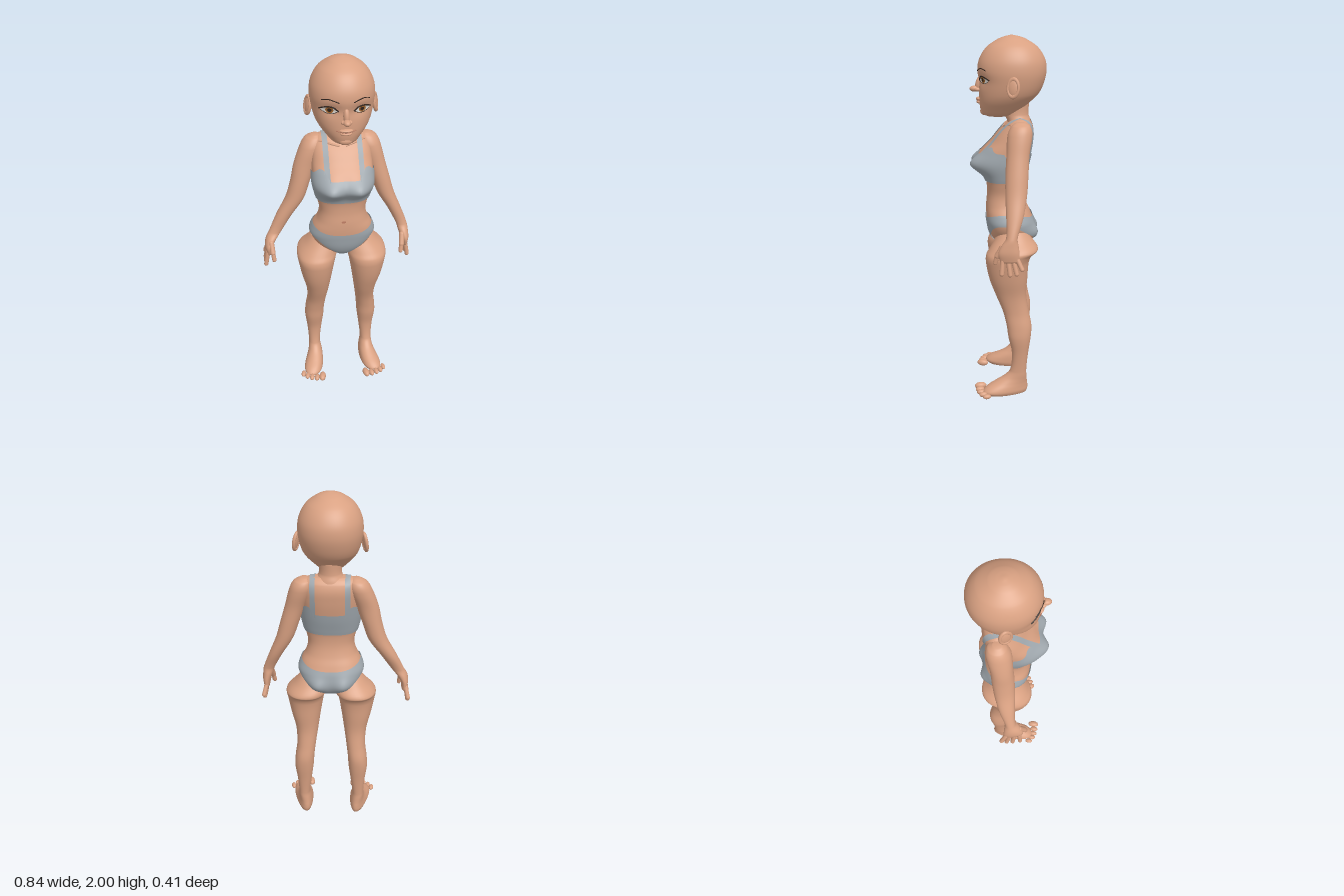
import * as THREE from 'three';

const CX = 0.026; // body mid line
const mat = (name, color) => {
  const m = new THREE.MeshStandardMaterial({ color });
  m.name = name;
  return m;
};
const gauss = (d, w) => Math.exp(-(d * d) / (w * w));
const smooth = THREE.MathUtils.smoothstep;

// Rows are [y, xMin, xMax, zFront, zBack]; sampled with a cubic through the rows
function sampleRow(rows, y) {
  let i = 0;
  while (i < rows.length - 2 && y > rows[i + 1][0]) i++;
  const a = rows[i], b = rows[i + 1], h = b[0] - a[0];
  const t = THREE.MathUtils.clamp((y - a[0]) / h, 0, 1);
  const slope = (k, c) => {
    const p = rows[Math.max(k - 1, 0)], q = rows[Math.min(k + 1, rows.length - 1)];
    return (q[c] - p[c]) / (q[0] - p[0]);
  };
  return [1, 2, 3, 4].map((c) => {
    const t2 = t * t, t3 = t2 * t;
    return (2 * t3 - 3 * t2 + 1) * a[c] + (t3 - 2 * t2 + t) * h * slope(i, c)
      + (3 * t2 - 2 * t3) * b[c] + (t3 - t2) * h * slope(i + 1, c);
  });
}

// A surface of rounded horizontal sections, with an optional rule that moves points
function makeSurface(rows, n = 2, warp = null) {
  const finish = (p) => { if (warp) warp(p); return p; };
  return {
    rows,
    point(th, y, off = 0) {
      const [x0, x1, zf, zb] = sampleRow(rows, y), c = Math.cos(th), s = Math.sin(th);
      const k = (v) => Math.sign(v) * Math.pow(Math.abs(v), 2 / n);
      const p = finish(new THREE.Vector3((x0 + x1) / 2 + k(c) * (x1 - x0) / 2, y, (zf + zb) / 2 + k(s) * (zf - zb) / 2));
      p.x += c * off; p.z += s * off;
      return p;
    },
    at(x, y, side = 1, off = 0) {
      const [x0, x1, zf, zb] = sampleRow(rows, y);
      const u = Math.min(1, Math.abs((x - (x0 + x1) / 2) / ((x1 - x0) / 2)));
      const p = finish(new THREE.Vector3(x, y, (zf + zb) / 2 + side * (zf - zb) / 2 * Math.pow(1 - Math.pow(u, n), 1 / n)));
      p.z += side * off;
      return p;
    },
  };
}

// Grid of points to geometry; each grid row may wrap round
function gridGeometry(grid, wrap, caps) {
  const pos = [], idx = [], m = grid[0].length, cols = wrap ? m : m - 1;
  grid.forEach((r) => r.forEach((p) => pos.push(p.x, p.y, p.z)));
  for (let i = 0; i < grid.length - 1; i++) for (let j = 0; j < cols; j++) {
    const a = i * m + j, b = i * m + (j + 1) % m, c = a + m, d = b + m;
    idx.push(a, c, b, b, c, d);
  }
  if (caps) [0, grid.length - 1].forEach((i, top) => {
    const mid = grid[i].reduce((s, p) => s.add(p), new THREE.Vector3()).divideScalar(m), k = pos.length / 3;
    pos.push(mid.x, mid.y, mid.z);
    for (let j = 0; j < m; j++) {
      const a = i * m + j, b = i * m + (j + 1) % m;
      if (top) idx.push(a, k, b); else idx.push(a, b, k);
    }
  });
  const g = new THREE.BufferGeometry();
  g.setAttribute('position', new THREE.Float32BufferAttribute(pos, 3));
  g.setIndex(idx);
  g.computeVertexNormals();
  return g;
}

function body(surf, seg = 40, steps = 5) {
  const r = surf.rows, grid = [];
  for (let i = 0; i < r.length - 1; i++) for (let k = i ? 1 : 0; k <= steps; k++) {
    const y = r[i][0] + (r[i + 1][0] - r[i][0]) * k / steps;
    grid.push(Array.from({ length: seg }, (_, j) => surf.point(j / seg * Math.PI * 2, y)));
  }
  return gridGeometry(grid, true, true);
}

// Cloth band that hugs a surface between two edge heights
function band(surf, lo, hi, off, seg = 96, n = 20) {
  return gridGeometry(Array.from({ length: n + 1 }, (_, i) => Array.from({ length: seg }, (_, j) => {
    const th = j / seg * Math.PI * 2;
    return surf.point(th, lo(th) + (hi(th) - lo(th)) * i / n, off);
  })), true, false);
}

// Thin oval laid on the front of a surface
function decal(surf, x, y, rx, ry, off) {
  const g = new THREE.CircleGeometry(1, 28), p = g.attributes.position;
  for (let i = 0; i < p.count; i++) {
    const q = surf.at(x + p.getX(i) * rx, y + p.getY(i) * ry, 1, off);
    p.setXYZ(i, q.x, q.y, q.z);
  }
  g.computeVertexNormals();
  return g;
}

export function createModel() {
  const model = new THREE.Group();
  const skin = mat('skin', 0xd9a182), cloth = mat('grey cloth', 0xa0a8ae), dark = mat('dark hair', 0x33261f);
  const white = mat('eye white', 0xe4ded6), amber = mat('amber iris', 0xa8692f), shade = mat('lip', 0xb97a62);
  cloth.side = THREE.DoubleSide;
  const add = (name, geo, m = skin, parent = model) => {
    const o = new THREE.Mesh(geo, m);
    o.name = name;
    parent.add(o);
    return o;
  };
  const ball = (name, x, y, z, rx, ry, rz, m = skin) => {
    const o = add(name, new THREE.SphereGeometry(1, 20, 14), m);
    o.position.set(x, y, z);
    o.scale.set(rx, ry, rz);
    return o;
  };
  const rod = (name, a, b, r) => {
    const d = b.clone().sub(a), o = add(name, new THREE.CapsuleGeometry(r, d.length(), 5, 10));
    o.position.copy(a).add(b).multiplyScalar(0.5);
    o.quaternion.setFromUnitVectors(new THREE.Vector3(0, 1, 0), d.normalize());
  };
  const line = (name, pts, r, m) => add(name, new THREE.TubeGeometry(new THREE.CatmullRomCurve3(pts), 16, r, 6), m);
  const centred = (rows) => rows.map(([y, r, f, b]) => [y, CX - r, CX + r, f, b]);

  // Torso and pelvis
  const torso = makeSurface(centred([
    [0.855, 0.035, 0.03, -0.06], [0.88, 0.075, 0.07, -0.11], [0.93, 0.145, 0.1, -0.14], [1.0, 0.178, 0.115, -0.138],
    [1.05, 0.166, 0.12, -0.122], [1.1, 0.14, 0.12, -0.1], [1.16, 0.128, 0.115, -0.085], [1.22, 0.139, 0.118, -0.085],
    [1.26, 0.15, 0.13, -0.095], [1.33, 0.164, 0.168, -0.115], [1.4, 0.164, 0.135, -0.13], [1.45, 0.162, 0.09, -0.137],
    [1.5, 0.158, 0.05, -0.14], [1.54, 0.148, 0.01, -0.13], [1.56, 0.13, -0.015, -0.115], [1.572, 0.1, -0.035, -0.1],
  ]), 2.4, (p) => {
    const d = Math.abs(p.x - CX);
    if (p.z > 0) p.z += 0.038 * gauss(d - 0.078, 0.055) * gauss(p.y - 1.33, 0.05) * smooth(p.z, 0, 0.08);
    else p.z -= 0.028 * gauss(d - 0.075, 0.05) * gauss(p.y - 0.94, 0.05) * smooth(-p.z, 0.03, 0.1);
  });
  add('torso', body(torso, 64));
  add('navel', decal(torso, CX - 0.005, 1.115, 0.012, 0.007, 0.002), shade);
  add('neck', body(makeSurface(centred([
    [1.53, 0.1, 0.0, -0.13], [1.56, 0.073, 0.005, -0.122], [1.59, 0.06, 0.02, -0.112], [1.66, 0.062, 0.04, -0.115],
  ]))));
  for (const s of [-1, 1]) // collar bones
    line('collarBone', [[0.015, 1.525], [0.06, 1.535], [0.12, 1.545]].map(([x, y]) => torso.at(CX + s * x, y, 1, -0.003)), 0.007, skin);

  // Underwear
  add('topBand', band(torso, () => 1.237, (t) => {
    const c = Math.abs(Math.cos(t));
    return (Math.sin(t) > 0 ? 1.385 : 1.37) + 0.045 * smooth(c, 0.35, 0.65) - 0.03 * smooth(c, 0.7, 1);
  }, 0.006), cloth);
  add('briefs', band(torso, (t) => {
    const c = Math.abs(Math.cos(t));
    return Math.sin(t) > 0 ? 0.862 + 0.145 * smooth(c, 0, 1.05) : 0.872 + 0.13 * c * c;
  }, (t) => 1.03 + 0.035 * Math.cos(t) ** 2, 0.006), cloth);
  for (const s of [-1, 1]) {
    const edge = (x) => {
      const pts = [];
      for (let i = 0; i <= 12; i++) pts.push(torso.at(CX + s * x, 1.38 + 0.185 * i / 12, 1, 0.007));
      pts.push(new THREE.Vector3(CX + s * x, 1.579, -0.065));
      for (let i = 12; i >= 0; i--) pts.push(torso.at(CX + s * x, 1.35 + 0.215 * i / 12, -1, 0.007));
      return pts;
    };
    add('shoulderStrap', gridGeometry([edge(0.078), edge(0.106)], false, false), cloth);
  }

  // Legs and feet
  const legRows = [
    [0, 0.125, 0.218, 0.125, -0.108], [0.02, 0.118, 0.226, 0.14, -0.115], [0.045, 0.118, 0.222, 0.115, -0.115],
    [0.07, 0.12, 0.213, 0.07, -0.112], [0.1, 0.125, 0.203, 0.02, -0.11], [0.14, 0.13, 0.198, -0.015, -0.108],
    [0.25, 0.118, 0.205, -0.025, -0.118], [0.35, 0.105, 0.217, -0.005, -0.132], [0.42, 0.1, 0.212, 0.005, -0.135],
    [0.5, 0.09, 0.202, 0.025, -0.12], [0.6, 0.075, 0.208, 0.065, -0.105], [0.7, 0.06, 0.232, 0.1, -0.11],
    [0.8, 0.043, 0.251, 0.119, -0.118], [0.84, 0.033, 0.257, 0.116, -0.135], [0.87, 0.022, 0.25, 0.098, -0.168],
    [0.92, 0.02, 0.205, 0.068, -0.135], [0.97, 0.04, 0.165, 0.04, -0.1],
  ];
  for (const s of [-1, 1]) {
    const rows = legRows.map(([y, a, b, f, k]) => [y, CX + (s > 0 ? a : -b), CX + (s > 0 ? b : -a), f, k]);
    const mid = CX + s * 0.168;
    add('leg', body(makeSurface(rows, 2.2, (p) => { // feet widen and turn out towards the toes
      const w = 1 - smooth(p.y, 0.03, 0.13);
      p.x = mid + (p.x - mid) * (1 + w * (1.7 * p.z)) + s * w * p.z * 0.16;
    })));
    [[0.137, 0.157, 0.02], [0.171, 0.158, 0.0155], [0.201, 0.15, 0.015], [0.228, 0.136, 0.0145], [0.251, 0.115, 0.014]]
      .forEach(([x, z, r]) => ball('toe', CX + s * x, r * 0.95, z, r, r, r * 1.7).rotation.y = s * 0.2);
  }

  // Arms and hands
  const arms = [
    { s: -1, fx: -0.405, rows: [
      [0.875, -0.405, -0.375, 0.035, -0.065], [0.92, -0.412, -0.368, 0.045, -0.065], [0.96, -0.405, -0.345, 0.03, -0.06],
      [1.0, -0.385, -0.315, 0.005, -0.055], [1.1, -0.337, -0.25, 0.005, -0.085], [1.2, -0.283, -0.18, 0.01, -0.103],
      [1.3, -0.252, -0.145, 0.01, -0.11], [1.4, -0.23, -0.11, 0.005, -0.115], [1.5, -0.193, -0.07, 0, -0.13],
      [1.545, -0.165, -0.07, -0.02, -0.12], [1.565, -0.13, -0.09, -0.045, -0.09]] },
    { s: 1, fx: 0.4, rows: [
      [0.875, 0.378, 0.408, 0.035, -0.065], [0.92, 0.368, 0.415, 0.045, -0.065], [0.96, 0.355, 0.412, 0.03, -0.06],
      [1.0, 0.343, 0.405, 0.005, -0.055], [1.1, 0.292, 0.367, 0.005, -0.085], [1.2, 0.232, 0.326, 0.01, -0.103],
      [1.3, 0.195, 0.297, 0.01, -0.11], [1.4, 0.162, 0.268, 0.005, -0.115], [1.5, 0.122, 0.241, 0, -0.13],
      [1.545, 0.122, 0.217, -0.02, -0.12], [1.565, 0.142, 0.182, -0.045, -0.09]] },
  ];
  for (const { s, fx, rows } of arms) {
    add('arm', body(makeSurface(rows, 2.1)));
    [[0.022, 0.027, 0.815], [-0.004, -0.016, 0.81], [-0.03, -0.05, 0.815], [-0.052, -0.078, 0.84]].forEach(([z0, z1, y]) => {
      const knuckle = new THREE.Vector3(fx - s * 0.008, 0.895, z0), tip = new THREE.Vector3(fx + s * 0.006, y, z1);
      rod('finger', knuckle, tip, 0.0125);
    });
    rod('thumb', new THREE.Vector3(fx - s * 0.03, 0.95, 0.025), new THREE.Vector3(fx - s * 0.035, 0.9, 0.052), 0.015);
    rod('thumb', new THREE.Vector3(fx - s * 0.035, 0.9, 0.052), new THREE.Vector3(fx - s * 0.04, 0.86, 0.062), 0.0125);
  }

  // Head
  const head = makeSurface(centred([
    [1.577, 0.03, 0.105, 0.0], [1.59, 0.065, 0.135, -0.04], [1.62, 0.094, 0.147, -0.08], [1.66, 0.126, 0.152, -0.125],
    [1.7, 0.147, 0.153, -0.165], [1.76, 0.162, 0.152, -0.193], [1.82, 0.168, 0.161, -0.205], [1.88, 0.158, 0.15, -0.196],
    [1.94, 0.123, 0.111, -0.157], [1.98, 0.07, 0.052, -0.097], [1.993, 0.04, 0.018, -0.062], [2.0, 0.008, -0.012, -0.028],
  ]), 2.1, (p) => { // shallow eye sockets
    if (p.z > 0) p.z -= 0.012 * gauss(Math.abs(p.x - CX) - 0.075, 0.045) * gauss(p.y - 1.775, 0.03);
  });
  add('head', body(head, 64));
  ball('noseBridge', CX, 1.75, 0.15, 0.016, 0.045, 0.022).rotation.x = -0.25;
  ball('noseTip', CX, 1.723, 0.177, 0.019, 0.016, 0.027);
  ball('upperLip', CX, 1.672, 0.15, 0.036, 0.009, 0.02);
  ball('lowerLip', CX, 1.654, 0.149, 0.03, 0.01, 0.018);
  ball('chin', CX, 1.605, 0.128, 0.035, 0.022, 0.02);
  line('mouthLine', [-0.05, -0.025, 0, 0.025, 0.05].map((x) => {
    const p = head.at(CX + x, 1.664 + x * x * 2, 1, 0);
    p.z += 0.014 * gauss(x, 0.03);
    return p;
  }), 0.0025, shade);
  for (const s of [-1, 1]) {
    const ex = CX + s * 0.082;
    ball('nostril', CX + s * 0.017, 1.72, 0.161, 0.012, 0.01, 0.016);
    add('eyeWhite', decal(head, ex, 1.775, 0.04, 0.018, 0.003), white);
    add('iris', decal(head, ex, 1.776, 0.019, 0.017, 0.005), amber);
    add('pupil', decal(head, ex, 1.776, 0.01, 0.01, 0.007), dark);
    const arc = (pts, off) => pts.map(([x, y]) => head.at(CX + s * x, y, 1, off));
    line('upperLashes', arc([[0.038, 1.772], [0.06, 1.79], [0.085, 1.795], [0.11, 1.788], [0.13, 1.776]], 0.004), 0.0035, dark);
    line('lowerLashes', arc([[0.042, 1.77], [0.065, 1.759], [0.09, 1.757], [0.122, 1.77]], 0.003), 0.0015, dark);
    line('eyebrow', arc([[0.036, 1.82], [0.06, 1.829], [0.09, 1.835], [0.12, 1.825]], 0.001), 0.0025, dark);

    // Ears
    const ear = new THREE.Group();
    ear.name = 'ear';
    const rim = add('earRim', new THREE.TorusGeometry(0.034, 0.009, 10, 28), skin, ear);
    rim.scale.set(0.85, 1.3, 1);
    add('earBowl', new THREE.SphereGeometry(0.034, 18, 12), skin, ear).scale.set(0.85, 1.3, 0.3);
    ear.position.set(CX + s * 0.175, 1.745, -0.03);
    ear.rotation.set(-0.15, s * (Math.PI / 2 - 0.35), 0, 'YXZ');
    model.add(ear);
  }
  return model;
}
